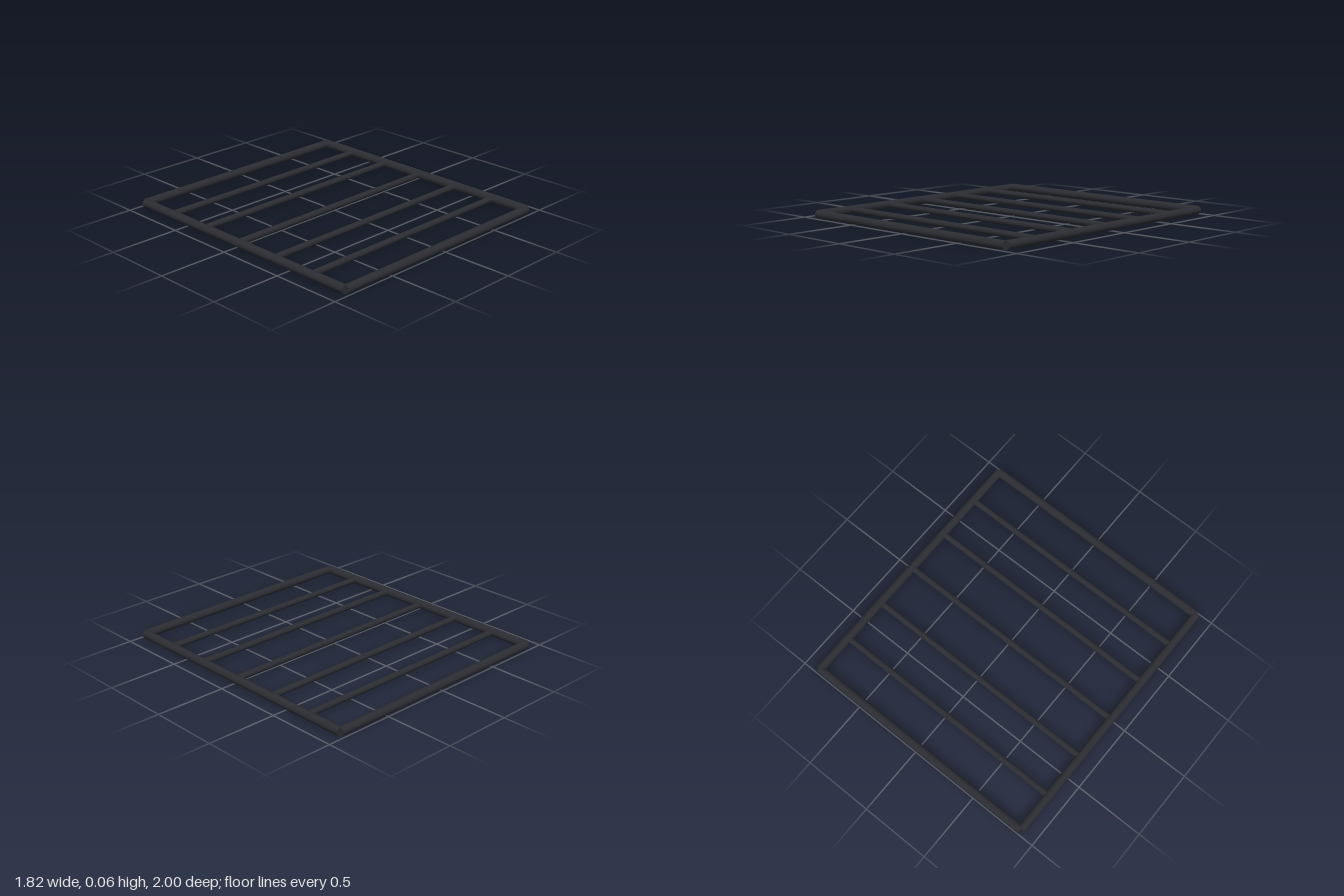
import * as THREE from 'three';

export function createModel() {
  const group = new THREE.Group();
  const material = new THREE.MeshStandardMaterial({ color: 0x2c2d32 });
  const railRadius = 0.03, slatRadius = 0.022;
  const halfX = 0.882, halfZ = 0.97; // rail centre lines

  // Round bar centred at (x, z), lying along the x or z axis
  function addBar(name, radius, length, axis, x, z) {
    const geometry = new THREE.CylinderGeometry(radius, radius, length, 12);
    if (axis === 'x') geometry.rotateZ(Math.PI / 2);
    else geometry.rotateX(Math.PI / 2);
    const bar = new THREE.Mesh(geometry, material);
    bar.name = name;
    bar.position.set(x, railRadius, z);
    group.add(bar);
  }

  // Outer frame: bars meet at their centre lines
  addBar('leftRail', railRadius, halfZ * 2, 'z', halfX, 0);
  addBar('rightRail', railRadius, halfZ * 2, 'z', -halfX, 0);
  addBar('frontRail', railRadius, halfX * 2, 'x', 0, halfZ);
  addBar('backRail', railRadius, halfX * 2, 'x', 0, -halfZ);

  // Thinner cross slats
  for (let i = -2; i <= 2; i++) {
    addBar('slat' + (i + 3), slatRadius, 1.73, 'x', 0, i * 0.339);
  }
  return group;
}
